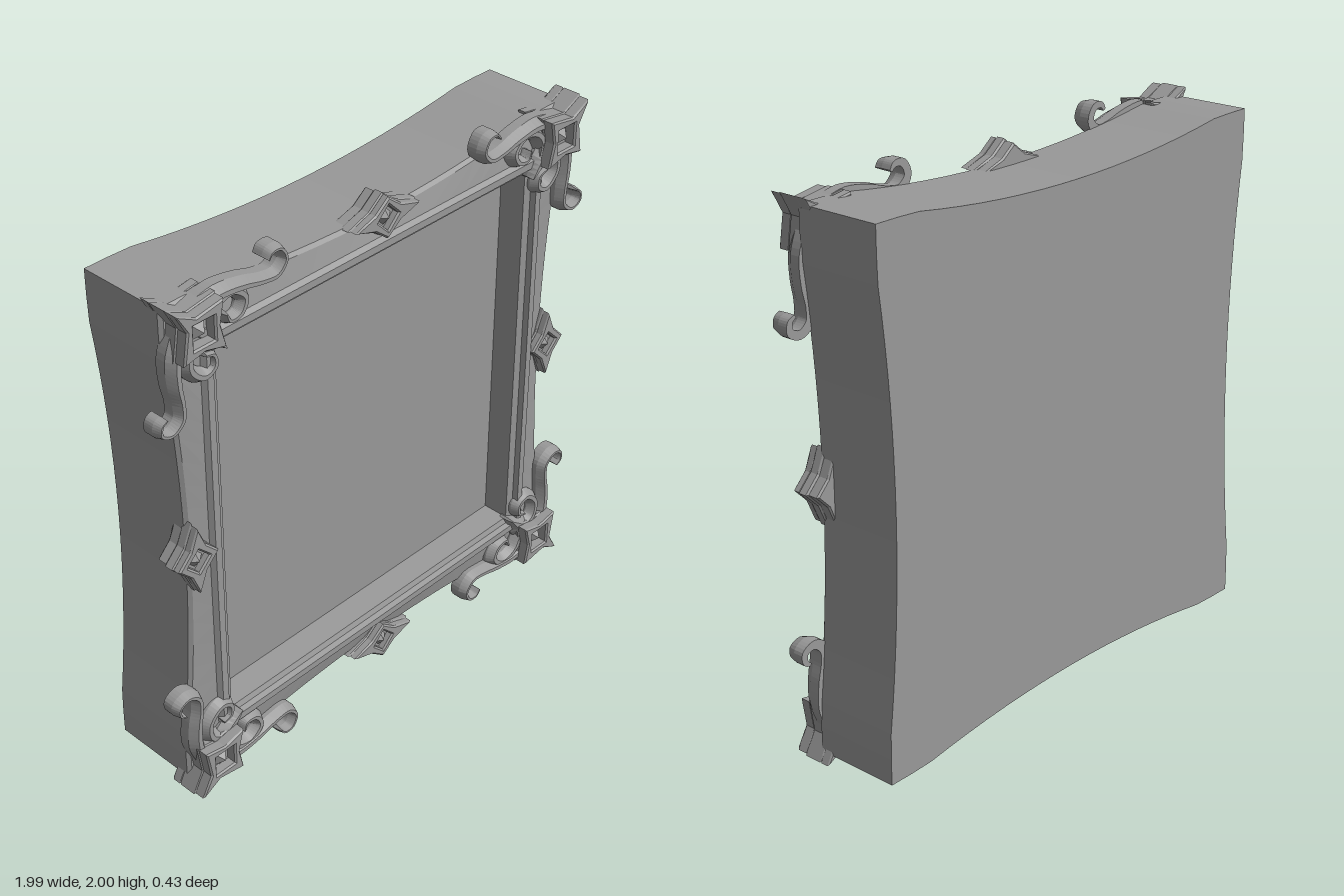
import * as THREE from 'three';

const CY = 1;                      // height of the frame's centre
const CORNER = [0.83, 0.865];      // corner boss position from the centre
const BACK = -0.213;
const pewter = new THREE.MeshStandardMaterial({ color: 0x999999, flatShading: true });

// Skin a list of closed rings (each counter-clockwise seen from the last ring)
function loft(rings, capped) {
  const pos = [];
  const tri = (a, b, c) => pos.push(...a, ...b, ...c);
  const n = rings[0].length;
  for (let k = 0; k < rings.length - 1; k++) {
    for (let i = 0; i < n; i++) {
      const j = (i + 1) % n, p = rings[k], q = rings[k + 1];
      tri(p[i], p[j], q[j]);
      tri(p[i], q[j], q[i]);
    }
  }
  if (capped) {
    const first = rings[0], last = rings[rings.length - 1];
    for (let i = 1; i < n - 1; i++) {
      tri(first[0], first[i + 1], first[i]);
      tri(last[0], last[i], last[i + 1]);
    }
  }
  const geo = new THREE.BufferGeometry();
  geo.setAttribute('position', new THREE.Float32BufferAttribute(pos, 3));
  geo.computeVertexNormals();
  return geo;
}

// Bevelled plate between two depths, with an optional hole
function plate(points, z0, z1, hole) {
  const toV = (list) => list.map(([x, y]) => new THREE.Vector2(x, y));
  const shape = new THREE.Shape(toV(points));
  if (hole) shape.holes.push(new THREE.Path(toV(hole)));
  const b = 0.006;
  return new THREE.ExtrudeGeometry(shape, {
    depth: z1 - z0 - b, bevelThickness: b, bevelSize: b, bevelOffset: -b, bevelSegments: 1,
  }).translate(0, 0, z0);
}

// Curling ribbon through [x, y, halfWidth] points, with a ridged front
function ribbon(points, z0, z1, steps = 40) {
  const curve = new THREE.CatmullRomCurve3(points.map(([x, y]) => new THREE.Vector3(x, y, 0)));
  const section = [[-1, 0], [1, 0], [1, 0.55], [0.3, 1], [-0.3, 1], [-1, 0.55]];
  const rings = [];
  for (let s = 0; s <= steps; s++) {
    const t = s / steps, f = t * (points.length - 1);
    const i = Math.min(Math.floor(f), points.length - 2);
    const w = THREE.MathUtils.lerp(points[i][2], points[i + 1][2], f - i);
    const p = curve.getPoint(t), d = curve.getTangent(t);
    rings.push(section.map(([a, h]) => [p.x - d.y * a * w, p.y + d.x * a * w, z0 + (z1 - z0) * h]));
  }
  return loft(rings, true);
}

// Mirror a geometry into another quadrant, keeping its faces outward
function mirrored(source, sx, sy) {
  const geo = source.index ? source.toNonIndexed() : source.clone();
  const p = geo.attributes.position;
  for (let i = 0; i < p.count; i++) p.setXY(i, p.getX(i) * sx, p.getY(i) * sy);
  if (sx * sy < 0) {
    const a = new THREE.Vector3(), b = new THREE.Vector3();
    for (let i = 0; i < p.count; i += 3) {
      a.fromBufferAttribute(p, i + 1);
      b.fromBufferAttribute(p, i + 2);
      p.setXYZ(i + 1, b.x, b.y, b.z);
      p.setXYZ(i + 2, a.x, a.y, a.z);
    }
  }
  geo.computeVertexNormals();
  return geo;
}

const diamond = (a, b) => [[a, 0], [0, b], [-a, 0], [0, -b]];
const square = (r) => [[r, r], [-r, r], [-r, -r], [r, -r]];
const scaled = (points, s) => points.map(([x, y]) => [x * s, y * s]);

// Four-sided pyramid facing the front
const pyramid = (r, z0, z1) =>
  new THREE.ConeGeometry(r, z1 - z0, 4).rotateX(Math.PI / 2).translate(0, 0, (z0 + z1) / 2);

// Solid body with bowed edges, front moulding and recessed panel
function buildFrame(group, add) {
  const N = 20, grid = [];
  const sides = [(t) => [1, t], (t) => [-t, 1], (t) => [-1, -t], (t) => [t, -1]];
  for (const side of sides) for (let i = 0; i < N; i++) grid.push(side(-1 + (2 * i) / N));
  const bow = (t) => Math.max(0, 1 - (t / 0.82) ** 2);
  const outline = (inset, z) => grid.map(([u, v]) =>
    [u * (0.92 - inset - 0.052 * bow(v)), v * (0.945 - inset - 0.06 * bow(u)), z]);
  const rect = (w, h, z) => grid.map(([u, v]) => [u * w, v * h, z]);

  const back = outline(0, BACK);
  add(group, 'body', loft([back, outline(0, 0.11)]));
  const backShape = new THREE.Shape(back.map(([x, y]) => new THREE.Vector2(x, y)));
  add(group, 'backPanel', new THREE.ShapeGeometry(backShape).rotateY(Math.PI).translate(0, 0, BACK));
  add(group, 'moulding', loft([
    outline(0, 0.11), outline(0.012, 0.122),
    rect(0.79, 0.809, 0.138), rect(0.778, 0.797, 0.155),
    rect(0.752, 0.771, 0.155), rect(0.746, 0.765, 0.135),
    rect(0.72, 0.744, 0.128), rect(0.714, 0.738, 0.03),
  ]));
  add(group, 'innerPanel', new THREE.PlaneGeometry(1.428, 1.476).translate(0, 0, 0.03));
}

// Parts of the corner ornament in the +x +y quadrant
function cornerParts() {
  const [cx, cy] = CORNER;
  const star = [
    [0.113, 0.11], [0.03, 0.07], [-0.085, 0.088], [-0.068, 0],
    [-0.09, -0.09], [0, -0.068], [0.088, -0.085], [0.07, 0.03],
  ];
  const parts = [
    ['cornerBackPlate', plate(star, 0.065, 0.1)],
    ['cornerPlate', plate(star, 0.1, 0.172)],
    ['cornerRim', plate(scaled(star, 0.96), 0.172, 0.213, square(0.042))],
    ['cornerJewel', pyramid(0.048, 0.17, 0.211).rotateZ(Math.PI / 4)],
  ].map(([name, geo]) => [name, geo.translate(cx, cy, 0)]);

  // Scroll paths as [distance along the edge, distance outward, half width]
  const longScroll = [
    [0.0, 0.04, 0.03], [0.1, 0.062, 0.03], [0.2, 0.052, 0.026], [0.28, 0.034, 0.021], [0.34, 0.032, 0.02],
    [0.375, 0.072, 0.016], [0.355, 0.115, 0.014], [0.318, 0.118, 0.011], [0.3, 0.098, 0.006],
  ];
  const curl = [
    [0.05, -0.04, 0.03], [0.09, 0.03, 0.027], [0.16, 0.05, 0.026], [0.21, 0.008, 0.026],
    [0.19, -0.038, 0.022], [0.145, -0.045, 0.016], [0.13, -0.015, 0.008],
  ];
  const alongTop = (path) => path.map(([a, o, w]) => [cx - a, cy + o, w]);
  const alongSide = (path, scale, lean) => path.map(([a, o, w]) => [cx + o + a * lean, cy - a * scale, w]);
  parts.push(
    ['topScroll', ribbon(alongTop(longScroll), 0.105, 0.175)],
    ['sideScroll', ribbon(alongSide(longScroll, 0.88, 0.1), 0.105, 0.175)],
    ['topCurl', ribbon(alongTop(curl), 0.105, 0.17)],
    ['sideCurl', ribbon(alongSide(curl, 0.92, -0.2), 0.105, 0.17)],
    ['cornerLeaf', ribbon([[cx, cy, 0.05], [cx - 0.07, cy - 0.075, 0.04], [cx - 0.12, cy - 0.125, 0.005]], 0.11, 0.175, 8)],
  );
  return parts;
}

// Diamond ornament for the middle of an edge: half sizes along x and y
function middleParts(a, b) {
  const tips = diamond(a, b);
  const star = tips.flatMap(([x, y], i) => {
    const [nx, ny] = tips[(i + 1) % 4];
    return [[x, y], [(x + nx) * 0.4, (y + ny) * 0.4]];
  });
  return [
    ['middleBackPlate', plate(scaled(star, 0.9), 0.065, 0.105)],
    ['middlePlate', plate(star, 0.105, 0.14)],
    ['middleRim', plate(scaled(star, 0.95), 0.14, 0.167, diamond(0.046, 0.046))],
    ['middleJewel', pyramid(0.036, 0.138, 0.167)],
  ];
}

export function createModel() {
  const model = new THREE.Group();
  model.name = 'ornateFrame';
  const add = (parent, name, geo) => {
    const mesh = new THREE.Mesh(geo, pewter);
    mesh.name = name;
    parent.add(mesh);
  };
  const makeGroup = (name, x, y) => {
    const g = new THREE.Group();
    g.name = name;
    g.position.set(x, y, 0);
    model.add(g);
    return g;
  };

  buildFrame(makeGroup('frame', 0, CY), add);

  // Four mirrored corner ornaments
  const corner = cornerParts();
  for (const sx of [1, -1]) for (const sy of [1, -1]) {
    const g = makeGroup(`${sy > 0 ? 'top' : 'bottom'}${sx > 0 ? 'Left' : 'Right'}Corner`, 0, CY);
    for (const [name, geo] of corner) add(g, name, mirrored(geo, sx, sy));
  }

  // Ornaments at the middle of each edge
  for (const s of [1, -1]) {
    const edge = makeGroup(s > 0 ? 'topOrnament' : 'bottomOrnament', 0, CY + s * 0.885);
    for (const [name, geo] of middleParts(0.155, 0.08)) add(edge, name, geo);
    const side = makeGroup(s > 0 ? 'leftOrnament' : 'rightOrnament', s * 0.86, CY);
    for (const [name, geo] of middleParts(0.09, 0.138)) add(side, name, geo);
  }
  return model;
}
